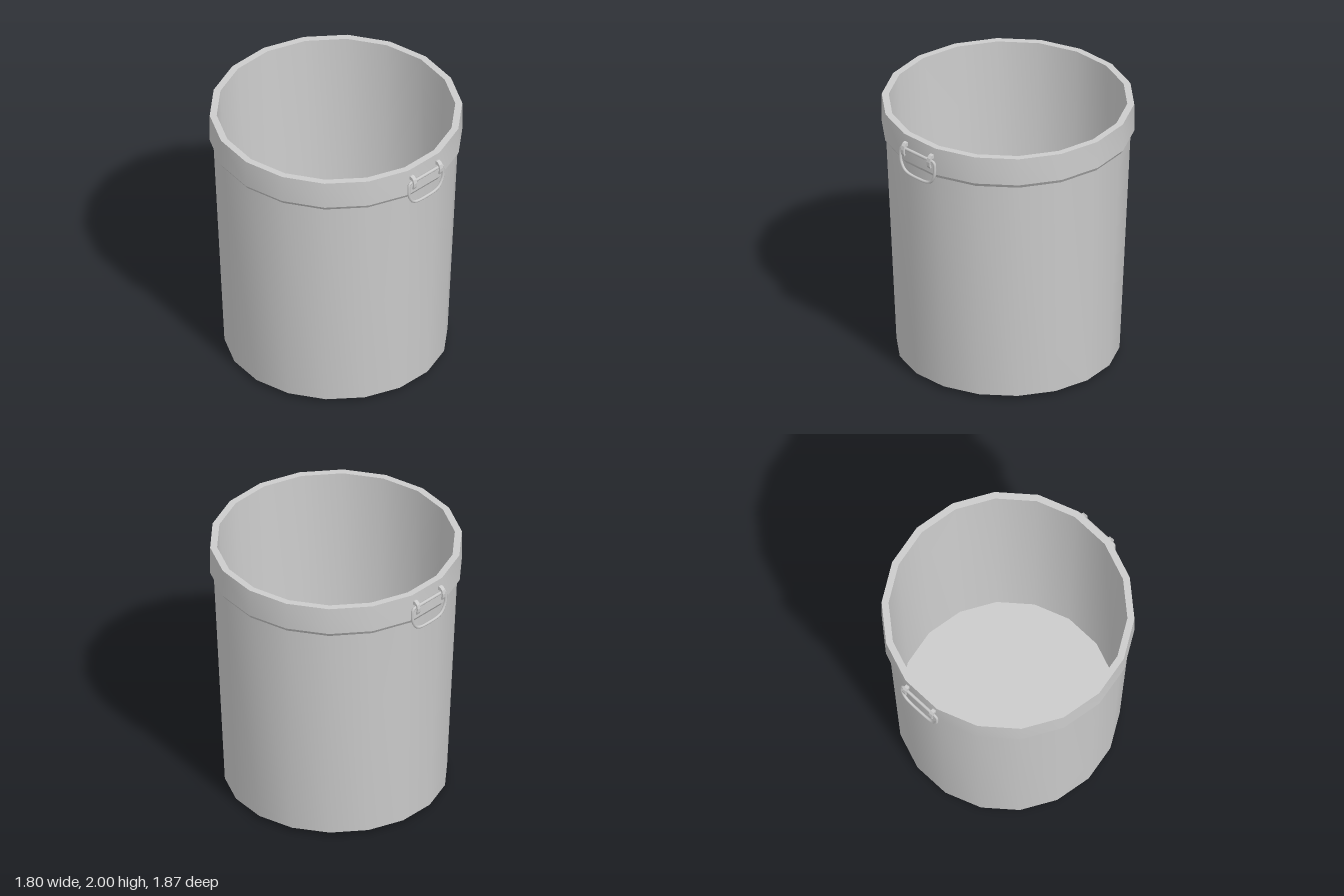
import * as THREE from 'three';
import { toCreasedNormals } from 'three/addons/utils/BufferGeometryUtils.js';

const SIDES = 18;
const material = new THREE.MeshStandardMaterial({ color: 0xcccccc });

function addMesh(parent, name, geometry) {
  const mesh = new THREE.Mesh(geometry, material);
  mesh.name = name;
  parent.add(mesh);
  return mesh;
}

// Turned part: 18 sides, a corner on the x axis, sharp profile edges
function turned(profile) {
  const points = profile.map(([r, y]) => new THREE.Vector2(r, y));
  return toCreasedNormals(new THREE.LatheGeometry(points, SIDES, Math.PI / 2), 0.5);
}

// Carrying handle on the +z side
function createHandle() {
  const handle = new THREE.Group();
  const z = 0.907;

  // Hanging loop with a straight top bar
  const loop = new THREE.CatmullRomCurve3([
    [-0.13, 1.9], [-0.165, 1.893], [-0.172, 1.85], [-0.164, 1.78], [-0.12, 1.722],
    [0, 1.706],
    [0.12, 1.722], [0.164, 1.78], [0.172, 1.85], [0.165, 1.893], [0.13, 1.9],
  ].map(([x, y]) => new THREE.Vector3(x, y, z)));
  addMesh(handle, 'handleLoop', new THREE.TubeGeometry(loop, 48, 0.011, 8, false));

  const bar = addMesh(handle, 'handleBar', new THREE.CylinderGeometry(0.012, 0.012, 0.27, 8));
  bar.rotation.z = Math.PI / 2;
  bar.position.set(0, 1.9, z);

  // Curled clips that hold the bar; outline drawn in depth and height
  const outline = new THREE.Shape([
    [0.878, 1.918], [0.912, 1.916], [0.92, 1.902], [0.921, 1.88], [0.912, 1.852],
    [0.922, 1.845], [0.931, 1.865], [0.933, 1.895], [0.926, 1.925], [0.91, 1.943],
    [0.895, 1.947], [0.878, 1.944],
  ].map(([d, y]) => new THREE.Vector2(d, y)));
  const clip = new THREE.ExtrudeGeometry(outline, { depth: 0.03, bevelEnabled: false });
  clip.translate(0, 0, -0.015);
  clip.rotateY(-Math.PI / 2);
  for (const side of [-1, 1]) {
    addMesh(handle, side > 0 ? 'leftClip' : 'rightClip', clip).position.x = side * 0.13;
  }
  return handle;
}

export function createModel() {
  const bucket = new THREE.Group();
  bucket.name = 'bucket';

  // Outer wall, raised collar, rim, inner wall and floor in one profile
  addMesh(bucket, 'bucketWall', turned([
    [0.7, 0], [0.795, 0.028], [0.874, 1.762], [0.884, 1.762], [0.902, 1.79],
    [0.9, 2], [0.85, 2], [0.778, 0.05], [0, 0.05],
  ]));

  // Underside
  const base = addMesh(bucket, 'base', new THREE.CircleGeometry(0.7, SIDES));
  base.rotation.x = Math.PI / 2;

  // Front and back handles
  for (const [name, angle] of [['frontHandle', 0], ['backHandle', Math.PI]]) {
    const handle = createHandle();
    handle.name = name;
    handle.rotation.y = angle;
    bucket.add(handle);
  }
  return bucket;
}
